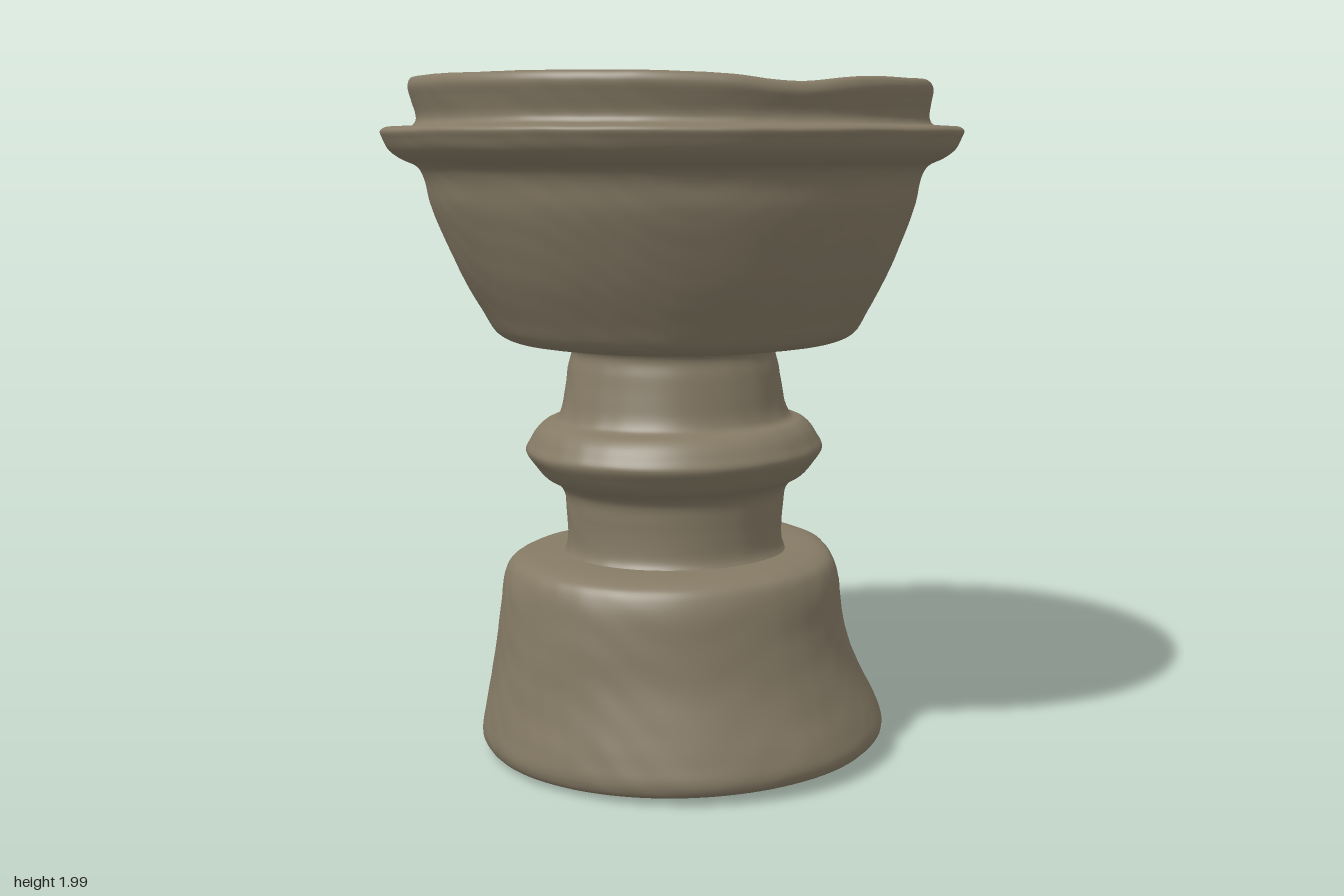
import * as THREE from 'three';
import { mergeVertices } from 'three/addons/utils/BufferGeometryUtils.js';

const clay = new THREE.MeshStandardMaterial({ color: 0x857a65 });
clay.name = 'weathered clay';

const ramp = (v, a, b) => THREE.MathUtils.smoothstep(v, a, b);

// Hand-made unevenness of the surface, with some finer pitting
function lumps(x, y, z) {
  return 0.004 * Math.sin(5 * x + 3 * y) * Math.cos(4 * z - 4 * y)
    + 0.002 * Math.sin(17 * x + 11 * y + 2) * Math.sin(15 * z - 9 * y)
    + 0.001 * Math.sin(37 * x - 29 * y + 4 * Math.sin(9 * z)) * Math.cos(41 * z + 33 * y + 3 * Math.sin(11 * x));
}

// Smooth turned part from [radius, y] points, then warped off-round
function turned(name, points, warp) {
  const curve = new THREE.CatmullRomCurve3(
    points.map(([r, y]) => new THREE.Vector3(r, y, 0)), false, 'centripetal');
  const profile = [];
  const steps = (points.length - 1) * 5;
  for (let i = 0; i <= steps; i++) {
    const p = curve.getPoint(i / steps);
    profile.push(new THREE.Vector2(Math.max(0, p.x), p.y));
  }
  let geometry = new THREE.LatheGeometry(profile, 144);
  geometry.deleteAttribute('uv');
  geometry.deleteAttribute('normal');
  geometry = mergeVertices(geometry, 1e-5);
  const pos = geometry.attributes.position;
  const v = new THREE.Vector3();
  for (let i = 0; i < pos.count; i++) {
    v.fromBufferAttribute(pos, i);
    const r = Math.hypot(v.x, v.z);
    const n = lumps(v.x, v.y, v.z);
    if (r > 0.01) {
      v.x += (v.x / r) * n;
      v.z += (v.z / r) * n;
    }
    v.y += n * 0.4;
    warp(v, Math.atan2(v.z, v.x));
    pos.setXYZ(i, v.x, v.y, v.z);
  }
  geometry.computeVertexNormals();
  const mesh = new THREE.Mesh(geometry, clay);
  mesh.name = name;
  return mesh;
}

export function createModel() {
  const group = new THREE.Group();
  group.name = 'pedestalBowl';

  // Hollow flared foot, with a wavy lower edge leaning to the left
  group.add(turned('foot', [
    [0, 0.47], [0.2, 0.46], [0.35, 0.41], [0.43, 0.3], [0.49, 0.15], [0.53, 0.06],
    [0.555, 0.035], [0.585, 0.037], [0.6, 0.07], [0.588, 0.13], [0.56, 0.22],
    [0.532, 0.33], [0.515, 0.44], [0.502, 0.54], [0.482, 0.585], [0.45, 0.603],
    [0.4, 0.612], [0.32, 0.618],
  ], (v, a) => {
    const low = 1 - ramp(v.y, 0, 0.45);
    const edge = 1 - ramp(v.y, 0, 0.3);
    const top = ramp(v.y, 0.5, 0.6);
    const c = Math.cos(a), s = Math.sin(a);
    // The edge drops sharply at the back
    const drop = Math.exp(-Math.pow((a + Math.PI / 2) / 0.55, 2));
    v.y += edge * (0.02 * c + 0.006 * s - 0.026 * drop + 0.006);
    v.y += top * 0.025 * ramp(c, 0.5, 1);
    v.x += 0.036 * low - 0.006 * (1 - low);
    v.z *= 0.975 + 0.04 * low;
    v.z -= 0.006 * (1 - low);
  }));

  // Lower neck, ridged knob and upper neck
  group.add(turned('stem', [
    [0.345, 0.61], [0.333, 0.63], [0.328, 0.66], [0.332, 0.74], [0.338, 0.795],
    [0.36, 0.825], [0.395, 0.845], [0.425, 0.88], [0.449, 0.92], [0.435, 0.95],
    [0.415, 0.98], [0.39, 1.0], [0.355, 1.013], [0.338, 1.04], [0.322, 1.1],
    [0.31, 1.16], [0.3, 1.21], [0.32, 1.24],
  ], (v) => {
    v.z *= 0.95 + 0.03 * ramp(v.y, 1.0, 1.2);
    v.x -= 0.005 * ramp(v.y, 0.8, 1.2);
    v.y += 0.006 * v.x;
  }));

  // Bowl with a thick flange, upright rim and conical hollow
  group.add(turned('bowl', [
    [0.29, 1.242], [0.4, 1.24], [0.485, 1.243], [0.53, 1.265], [0.572, 1.33],
    [0.63, 1.43], [0.685, 1.55], [0.72, 1.64], [0.737, 1.71], [0.758, 1.745],
    [0.805, 1.768], [0.838, 1.792], [0.855, 1.822], [0.863, 1.845], [0.846, 1.857],
    [0.8, 1.857], [0.768, 1.862], [0.757, 1.88], [0.765, 1.93], [0.772, 1.97],
    [0.763, 1.99], [0.747, 1.995], [0.73, 1.98], [0.715, 1.91], [0.675, 1.76],
    [0.605, 1.6], [0.535, 1.47], [0.475, 1.39], [0.42, 1.362], [0.2, 1.348], [0, 1.345],
  ], (v, a) => {
    const high = ramp(v.y, 1.25, 1.85);
    const rim = ramp(v.y, 1.88, 1.98);
    v.z *= 0.965 - 0.015 * high;
    v.x += 0.01 * (1 - high) + 0.002 * high - 0.008 * rim;
    v.z -= 0.006 * high;
    // Shallow dip at the front and slight sag along the lip
    const dip = Math.exp(-Math.pow((a - 1.9) / 0.22, 2));
    v.y -= rim * (0.02 * dip + 0.005 * (1 + Math.cos(a - 0.5)));
    v.y = Math.min(v.y, 2);
  }));

  return group;
}
